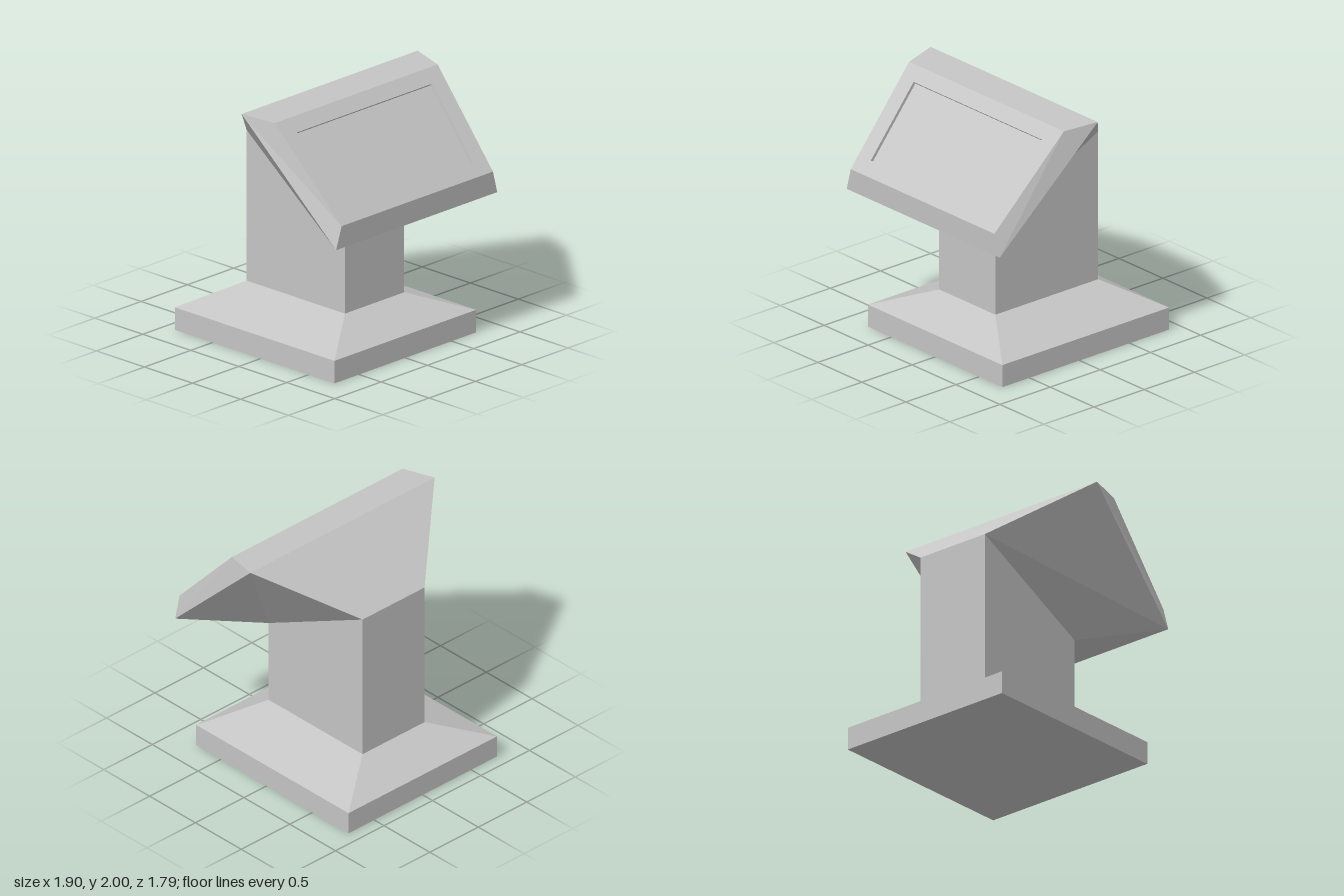
import * as THREE from 'three';

// Four-cornered section: a front edge and a back edge, each [half width, y, z]
const section = (front, back) => [
  [-front[0], front[1], front[2]],
  [front[0], front[1], front[2]],
  [back[0], back[1], back[2]],
  [-back[0], back[1], back[2]],
];

// Joins consecutive sections with flat quads; optionally caps either end
function loft(sections, capStart = false, capEnd = false) {
  const positions = [];
  const quad = (a, b, c, d) => positions.push(...a, ...b, ...c, ...a, ...c, ...d);
  for (let s = 0; s < sections.length - 1; s++) {
    const low = sections[s], high = sections[s + 1];
    for (let i = 0; i < 4; i++) {
      const j = (i + 1) % 4;
      quad(low[i], low[j], high[j], high[i]);
    }
  }
  if (capStart) quad(...[...sections[0]].reverse());
  if (capEnd) quad(...sections[sections.length - 1]);
  const geometry = new THREE.BufferGeometry();
  geometry.setAttribute('position', new THREE.Float32BufferAttribute(positions, 3));
  geometry.computeVertexNormals();
  return geometry;
}

export function createModel() {
  const group = new THREE.Group();
  group.name = 'consolePedestal';
  const grey = new THREE.MeshStandardMaterial({ color: 0xc4c4c4 });
  grey.name = 'light grey';

  const add = (name, geometry) => {
    const mesh = new THREE.Mesh(geometry, grey);
    mesh.name = name;
    group.add(mesh);
  };

  // Sections from the floor up to the tilted face
  const floor = section([0.765, 0, 0.77], [0.765, 0, -0.893]);
  const baseTop = section([0.765, 0.18, 0.77], [0.765, 0.18, -0.893]);
  const columnFoot = section([0.32, 0.357, 0.45], [0.32, 0.357, -0.575]);
  const columnTop = section([0.32, 1.045, 0.45], [0.32, 1.563, -0.575]);
  const headRim = section([0.87, 1.123, 0.888], [0.95, 2, -0.018]);
  const faceEdge = section([0.817, 1.303, 0.895], [0.88, 1.979, 0.258]);
  const recessRim = section([0.685, 1.392, 0.811], [0.73, 1.887, 0.345]);

  // Screen sits slightly below the bezel, along the face normal
  const depth = 0.025;
  const screenEdge = recessRim.map(([x, y, z]) => [x, y - depth * 0.685, z - depth * 0.728]);

  add('base', loft([floor, baseTop, columnFoot], true));
  add('column', loft([columnFoot, columnTop]));
  add('consoleHead', loft([columnTop, headRim, faceEdge]));
  add('bezel', loft([faceEdge, recessRim]));
  add('recessedScreen', loft([recessRim, screenEdge], false, true));

  return group;
}
